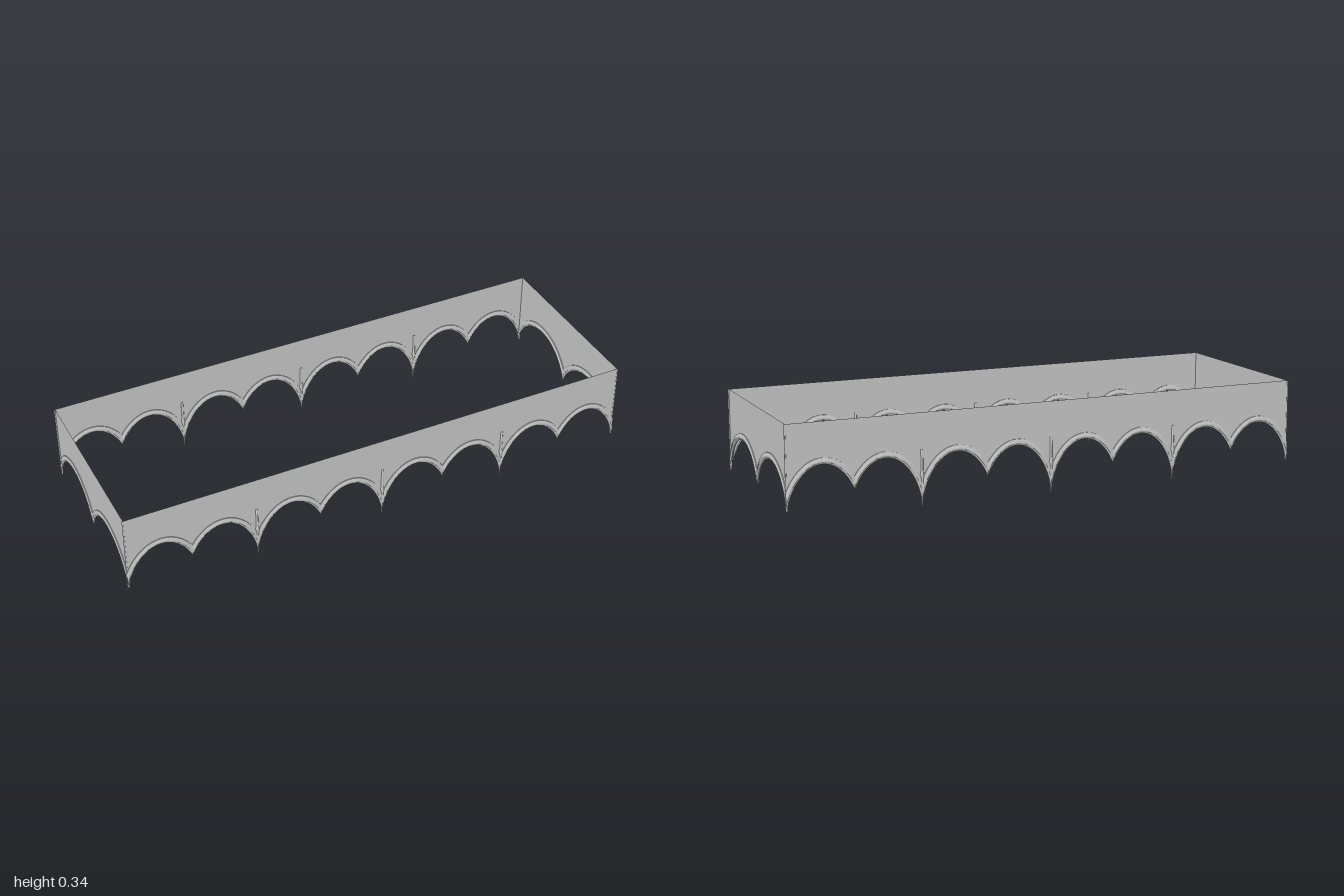
import * as THREE from 'three';
import { toCreasedNormals } from 'three/addons/utils/BufferGeometryUtils.js';

const TOP = 0.34;
const STEPS = 28;
const mat = new THREE.MeshStandardMaterial({ color: 0xcccccc, side: THREE.DoubleSide });

// Moulding section: [distance out from the opening, depth from the wall plane]
const half = [[0, 0.0025], [0.004, 0.0035], [0.007, 0.006], [0.013, 0.006], [0.017, 0.004], [0.023, 0.003]];
const section = [...half, ...half.map(([w, d]) => [w, -d]).reverse()];

// Height of an arch (widened by w) at position x
function archY(arch, x, w = 0) {
  const u = Math.min(1, Math.abs(x - arch.peak) / (arch.a + w));
  return arch.cy + (arch.b + w) * Math.sqrt(1 - u * u);
}

// Positions along the span, packed closer where the curve is steep
function samples(arch) {
  const t0 = Math.asin((arch.x0 - arch.peak) / arch.a);
  const t1 = Math.asin((arch.x1 - arch.peak) / arch.a);
  return Array.from({ length: STEPS + 1 }, (_, i) =>
    arch.peak + arch.a * Math.sin(t0 + (t1 - t0) * i / STEPS));
}

// Sweeps the moulding section along one arch
function mouldingGeometry(arch) {
  const pos = [], idx = [], n = section.length;
  samples(arch).forEach((x, i) => {
    section.forEach(([w, d], j) => {
      pos.push(x, archY(arch, x, w), d);
      if (i === STEPS) return;
      const k = (j + 1) % n, p = i * n, q = p + n;
      idx.push(p + j, q + j, q + k, p + j, q + k, p + k);
    });
  });
  const g = new THREE.BufferGeometry();
  g.setAttribute('position', new THREE.Float32BufferAttribute(pos, 3));
  g.setIndex(idx);
  return toCreasedNormals(g, 0.6);
}

// Thin wall whose lower edge follows the arches
function wallGeometry(arches, halfWidth) {
  const s = new THREE.Shape();
  s.moveTo(halfWidth, TOP);
  s.lineTo(-halfWidth, TOP);
  for (const arch of arches) for (const x of samples(arch)) s.lineTo(x, archY(arch, x));
  s.closePath();
  return new THREE.ShapeGeometry(s);
}

// Slim rib with a flared foot running down to the point
const ribGeometry = new THREE.LatheGeometry([
  [0, 0], [0.0025, 0.004], [0.004, 0.06], [0.0055, 0.1], [0.0075, 0.118],
  [0.0045, 0.132], [0.0045, 0.208], [0, 0.208],
].map(([r, y]) => new THREE.Vector2(r, y)), 12);

function add(parent, name, geometry, x = 0) {
  const m = new THREE.Mesh(geometry, mat);
  m.name = name;
  m.position.x = x;
  parent.add(m);
}

function buildSide(name, arches, halfWidth, ribs) {
  const g = new THREE.Group();
  g.name = name;
  add(g, 'wall', wallGeometry(arches, halfWidth));
  arches.forEach(arch => add(g, 'archMoulding', mouldingGeometry(arch)));
  ribs.forEach(x => add(g, 'pendantRib', ribGeometry, x));
  return g;
}

export function createModel() {
  const model = new THREE.Group();
  model.name = 'archedValance';

  // Long sides: eight arches with deep and shallow points in turn
  const longArches = [];
  for (let i = 0; i < 8; i++) {
    const x0 = -1 + i * 0.25;
    longArches.push({
      x0: Math.max(x0, -0.999), x1: Math.min(x0 + 0.25, 0.999),
      peak: x0 + 0.125 + (i % 2 ? -0.01 : 0.01), a: 0.14, b: 0.235, cy: -0.045,
    });
  }
  // Short ends: two round arches
  const endArches = [-1, 1].map(s => ({
    x0: s < 0 ? -0.349 : 0, x1: s < 0 ? 0 : 0.349,
    peak: s * 0.172, a: 0.18, b: 0.18, cy: 0,
  }));

  for (const s of [1, -1]) {
    const long = buildSide(s > 0 ? 'frontSide' : 'backSide', longArches, 0.999, [-0.5, 0, 0.5]);
    long.position.z = s * 0.348;
    long.rotation.y = s > 0 ? 0 : Math.PI;
    const end = buildSide(s > 0 ? 'leftEnd' : 'rightEnd', endArches, 0.349, []);
    end.position.x = s * 0.994;
    end.rotation.y = s * Math.PI / 2;
    model.add(long, end);
  }
  return model;
}
